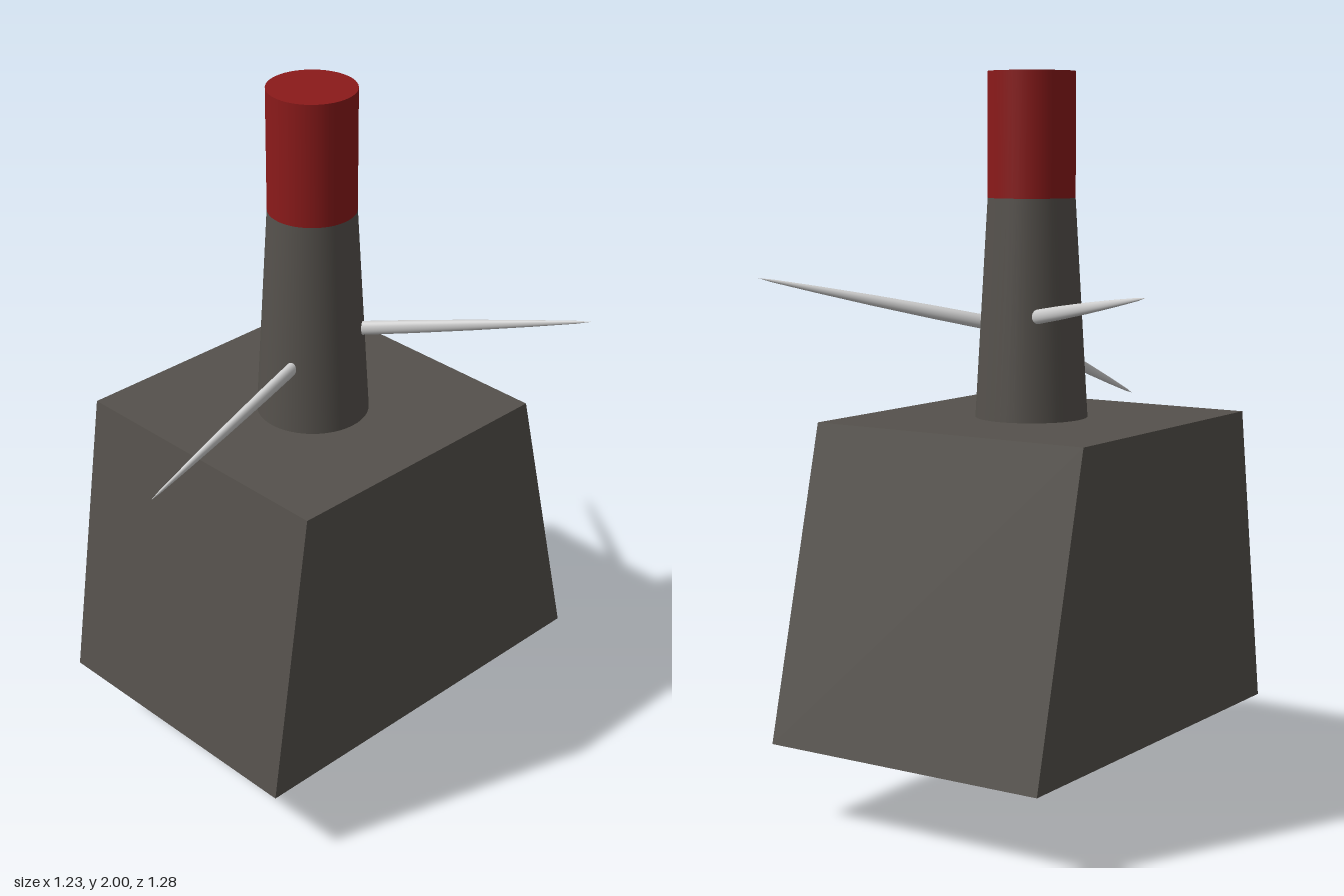
import * as THREE from 'three';

const mat = (color) => new THREE.MeshStandardMaterial({ color });

export function createModel() {
  const model = new THREE.Group();
  const dark = mat(0x55514c), red = mat(0x8b1a1a), grey = mat(0xcccccc);
  const add = (name, geometry, material, x = 0, y = 0, z = 0) => {
    const mesh = new THREE.Mesh(geometry, material);
    mesh.name = name;
    mesh.position.set(x, y, z);
    model.add(mesh);
    return mesh;
  };

  // Body: side outline (z, y) extruded across x
  const side = new THREE.Shape([
    [0.54, 0.215], [0.415, 1.06], [-0.43, 1.06], [-0.64, 0.215],
  ].map(([z, y]) => new THREE.Vector2(-z, y)));
  const bodyGeo = new THREE.ExtrudeGeometry(side, { depth: 0.845, bevelEnabled: false });
  bodyGeo.rotateY(Math.PI / 2);
  add('body', bodyGeo, dark, -0.487);

  // Tapered tower with a red cap
  add('tower', new THREE.CylinderGeometry(0.12, 0.155, 0.6, 48), dark, -0.05, 1.36, 0);
  add('towerCap', new THREE.CylinderGeometry(0.12, 0.12, 0.34, 48), red, -0.05, 1.83, 0);

  // Oval post under the body
  const post = add('post', new THREE.CylinderGeometry(0.024, 0.026, 0.26, 32), grey, -0.066, 0.13, -0.026);
  post.scale.z = 1.6;

  // Slender oval spikes, slightly convex, from root to tip
  const spikes = {
    frontSpike: [[0.003, 1.255, 0.11], [0.005, 1.058, 0.637]],
    leftSpike: [[0.05, 1.318, -0.062], [0.612, 1.437, -0.37]],
    rightSpike: [[-0.11, 1.341, -0.09], [-0.618, 1.432, -0.357]],
  };
  for (const [name, [root, tip]] of Object.entries(spikes)) {
    const a = new THREE.Vector3(...root), b = new THREE.Vector3(...tip);
    const length = a.distanceTo(b);
    const profile = [[0, 0], [0.02, 0], [0.0185, 0.25], [0.015, 0.5], [0.0095, 0.75], [0.004, 0.94], [0, 1]]
      .map(([r, t]) => new THREE.Vector2(r, t * length));
    const geo = new THREE.LatheGeometry(profile, 24);
    geo.rotateX(Math.PI / 2);
    geo.scale(0.72, 1, 1);
    add(name, geo, grey, ...root).lookAt(b);
  }
  return model;
}
